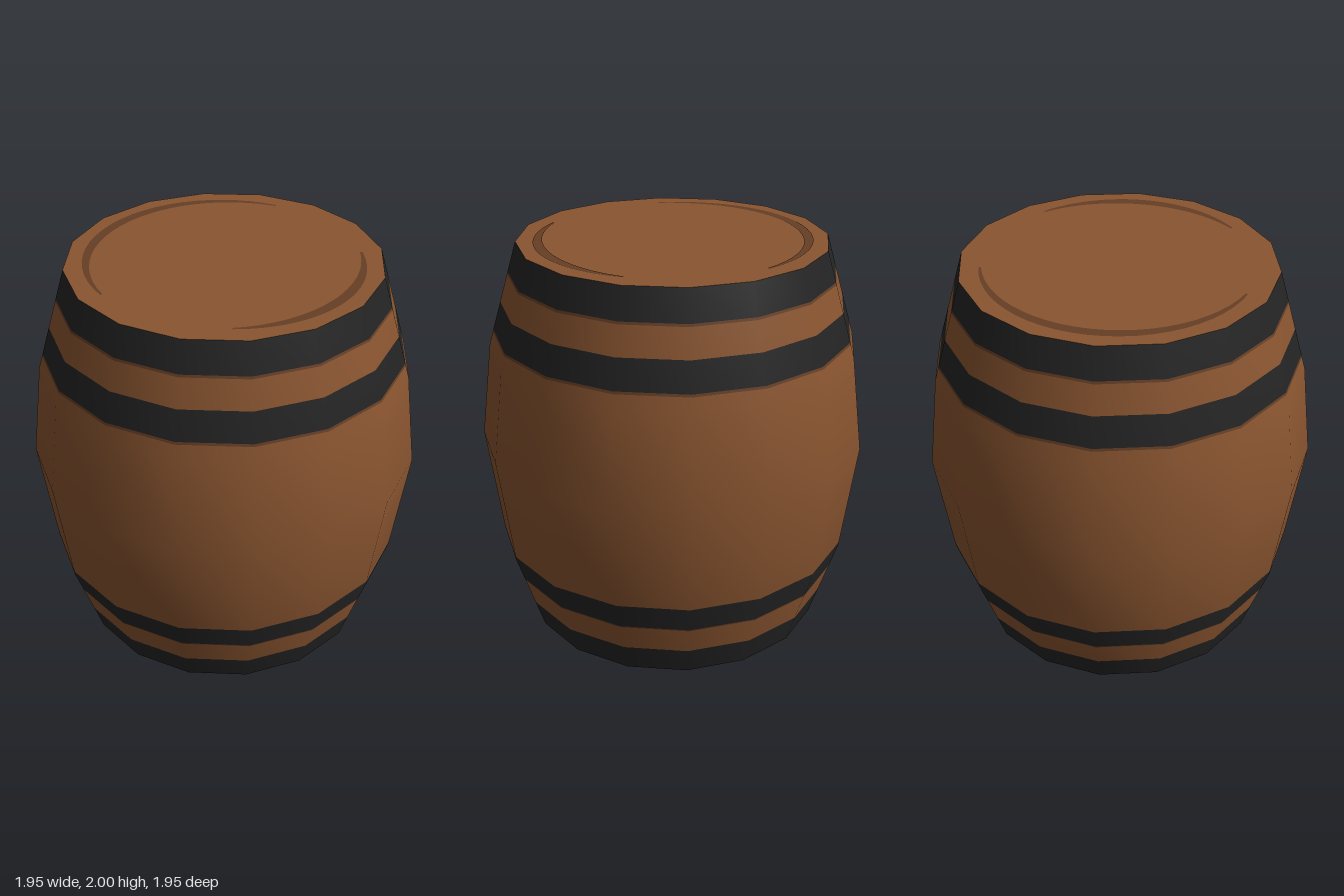
import * as THREE from 'three';

const SIDES = 16;
// Bulging outline as [radius, height]
const PROFILE = [[0.762, 0], [0.9, 0.43], [0.975, 1], [0.915, 1.48], [0.762, 2]];

const wood = new THREE.MeshStandardMaterial({ color: 0x8a5530 });
wood.name = 'wood';
const iron = new THREE.MeshStandardMaterial({ color: 0x242424 });
iron.name = 'iron';
const darkWood = new THREE.MeshStandardMaterial({ color: 0x663f26 });
darkWood.name = 'darkWood';

// Outward slope normal of every outline corner, averaged over its two edges
const edgeNormals = PROFILE.slice(1).map(([r, y], i) =>
  new THREE.Vector2(y - PROFILE[i][1], PROFILE[i][0] - r).normalize());
const cornerNormals = PROFILE.map((_, i) => {
  const below = edgeNormals[Math.max(i - 1, 0)];
  const above = edgeNormals[Math.min(i, edgeNormals.length - 1)];
  return below.clone().add(above).normalize();
});

// Radius and normal of the outline at height y
function outlineAt(y) {
  let i = 0;
  while (i < PROFILE.length - 2 && y > PROFILE[i + 1][1]) i++;
  const [r0, y0] = PROFILE[i];
  const [r1, y1] = PROFILE[i + 1];
  const t = THREE.MathUtils.clamp((y - y0) / (y1 - y0), 0, 1);
  return {
    radius: r0 + (r1 - r0) * t,
    normal: cornerNormals[i].clone().lerp(cornerNormals[i + 1], t).normalize(),
  };
}

// A slice of the barrel wall between two heights, smooth across its neighbours
function wallSlice(name, bottom, top, material) {
  const heights = [bottom, ...PROFILE.map((p) => p[1]).filter((y) => y > bottom && y < top), top];
  const points = heights.map((y) => new THREE.Vector2(outlineAt(y).radius, y));
  const geometry = new THREE.LatheGeometry(points, SIDES);
  const position = geometry.attributes.position;
  const normals = geometry.attributes.normal;
  for (let i = 0; i < position.count; i++) {
    const n = outlineAt(position.getY(i)).normal;
    const angle = Math.atan2(position.getX(i), position.getZ(i));
    normals.setXYZ(i, n.x * Math.sin(angle), n.y, n.x * Math.cos(angle));
  }
  const mesh = new THREE.Mesh(geometry, material);
  mesh.name = name;
  return mesh;
}

// A flat piece lying level, facing up or down
function flat(name, geometry, y, up, material) {
  const mesh = new THREE.Mesh(geometry, material);
  mesh.name = name;
  mesh.rotation.x = up ? -Math.PI / 2 : Math.PI / 2;
  mesh.position.y = y;
  return mesh;
}

export function createModel() {
  const barrel = new THREE.Group();
  barrel.name = 'barrel';

  // Staves and iron hoops, with a thin dark seam beneath the upper hoops
  barrel.add(
    wallSlice('bottomHoop', 0, 0.15, iron),
    wallSlice('lowerStaves', 0.15, 0.3, wood),
    wallSlice('lowerSeam', 0.3, 0.307, darkWood),
    wallSlice('lowerHoop', 0.307, 0.45, iron),
    wallSlice('middleStaves', 0.45, 1.545, wood),
    wallSlice('upperSeam', 1.545, 1.557, darkWood),
    wallSlice('upperHoop', 1.557, 1.7, iron),
    wallSlice('upperStaves', 1.7, 1.838, wood),
    wallSlice('topSeam', 1.838, 1.85, darkWood),
    wallSlice('topHoop', 1.85, 2, iron),
  );

  // Lid and base
  const end = PROFILE[0][0];
  barrel.add(flat('lid', new THREE.CircleGeometry(end, SIDES), 2, true, wood));
  barrel.add(flat('base', new THREE.CircleGeometry(0.65, SIDES), 0, false, wood));
  barrel.add(flat('baseRim', new THREE.RingGeometry(0.65, end, SIDES), 0, false, darkWood));

  // Worn arcs on the lid, tapering to points at both ends
  for (const [name, start, length] of [['leftWornArc', 1.8, 2.55], ['rightWornArc', -0.88, 1.63]]) {
    const shape = new THREE.Shape();
    const steps = 24;
    for (const side of [1, -1]) {
      for (let i = 0; i <= steps; i++) {
        const t = side > 0 ? i / steps : 1 - i / steps;
        const r = 0.655 + side * (0.006 + 0.02 * Math.sin(Math.PI * t));
        const a = start + length * t;
        if (side > 0 && i === 0) shape.moveTo(r * Math.cos(a), r * Math.sin(a));
        else shape.lineTo(r * Math.cos(a), r * Math.sin(a));
      }
    }
    barrel.add(flat(name, new THREE.ShapeGeometry(shape), 2.002, true, darkWood));
  }
  return barrel;
}
